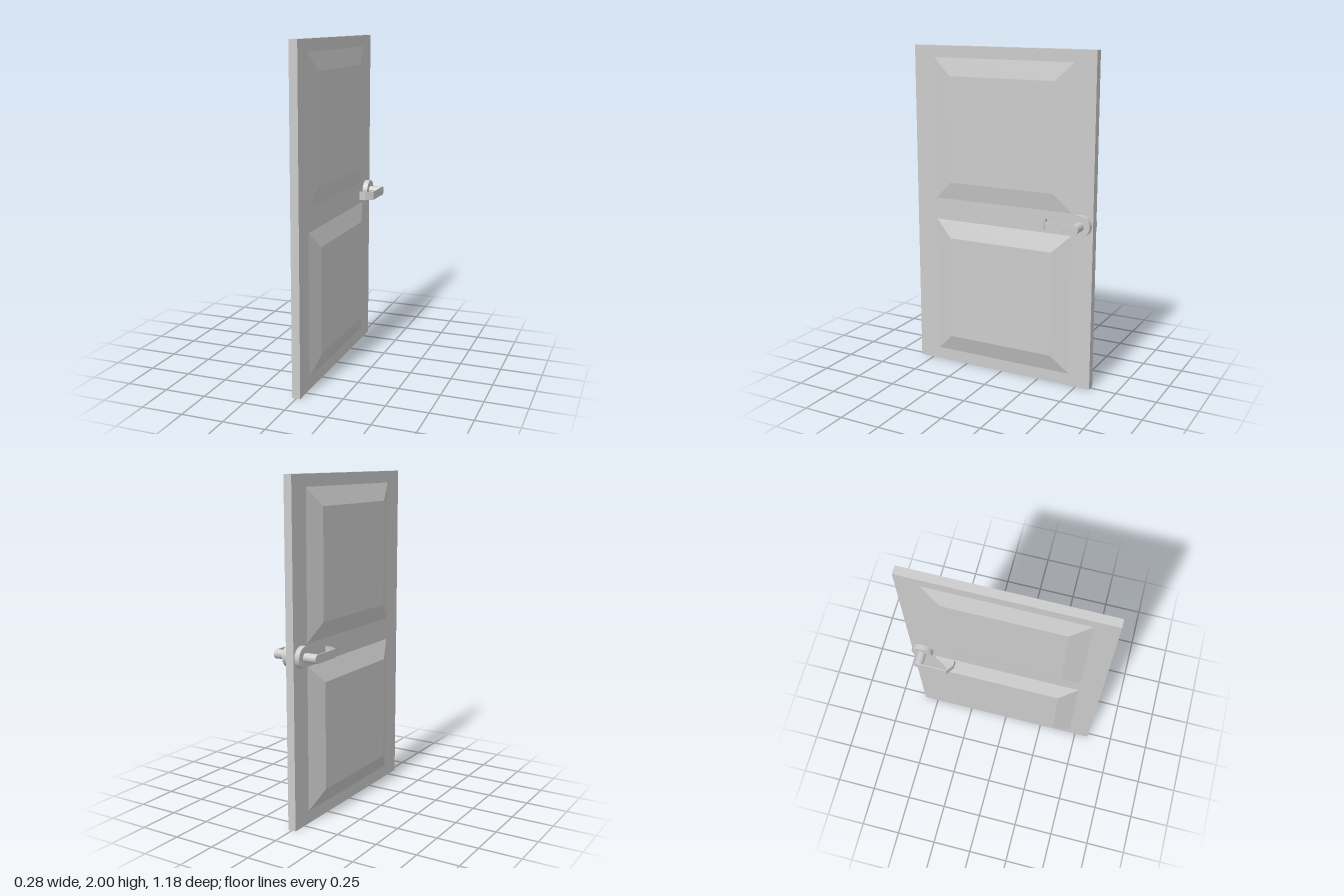
import * as THREE from 'three';

const material = new THREE.MeshStandardMaterial({ color: 0xcccccc });
const HALF = 0.025; // half thickness of the door slab

function add(parent, name, geometry) {
  const mesh = new THREE.Mesh(geometry, material);
  mesh.name = name;
  parent.add(mesh);
  return mesh;
}

// Raised panel: a box whose outer face is drawn in to leave bevelled edges
function panelGeometry(side, reach, yBottom, yTop) {
  const depth = reach - HALF;
  const height = yTop - yBottom;
  const g = new THREE.BoxGeometry(depth, height, 0.91);
  const p = g.attributes.position;
  for (let i = 0; i < p.count; i++) {
    if (p.getX(i) * side > 0) {
      p.setY(i, Math.sign(p.getY(i)) * (height / 2 - 0.107));
      p.setZ(i, Math.sign(p.getZ(i)) * 0.342);
    }
  }
  g.translate(side * (HALF + depth / 2), (yBottom + yTop) / 2, 0);
  g.computeVertexNormals();
  return g;
}

// Thin bent strip, drawn in plan (x, z) and extruded downwards
function leverGeometry(side, height) {
  const plan = [
    [0.139, -0.517], [0.139, -0.34], [0.092, -0.308], [0.056, -0.308],
    [0.056, -0.314], [0.09, -0.314], [0.133, -0.343], [0.133, -0.517],
  ].map(([x, z]) => new THREE.Vector2(side * x, z));
  const g = new THREE.ExtrudeGeometry(new THREE.Shape(plan), { depth: height, bevelEnabled: false });
  g.rotateX(Math.PI / 2);
  g.translate(0, height / 2, 0);
  return g;
}

// Cylinder lying along x, from the door core out to the given reach
function rodGeometry(side, radius, reach) {
  const g = new THREE.CylinderGeometry(radius, radius, reach, 32);
  g.rotateZ(Math.PI / 2);
  g.translate(side * reach / 2, 0, -0.518);
  return g;
}

export function createModel() {
  const door = new THREE.Group();
  door.name = 'door';

  add(door, 'slab', new THREE.BoxGeometry(HALF * 2, 2, 1.18)).position.y = 1;

  for (const side of [1, -1]) {
    const label = side > 0 ? 'left' : 'right';

    // Panels stand out a little further on the right face
    add(door, label + 'UpperPanel', panelGeometry(side, side > 0 ? 0.043 : 0.062, 1.07, 1.93));
    add(door, label + 'LowerPanel', panelGeometry(side, side > 0 ? 0.057 : 0.072, 0.075, 0.935));

    // Handle: round rose, spindle and bent lever
    const handle = new THREE.Group();
    handle.name = label + 'Handle';
    handle.position.y = 1.005;
    add(handle, 'rose', rodGeometry(side, 0.064, 0.057));
    add(handle, 'spindle', rodGeometry(side, 0.027, 0.14));
    add(handle, 'lever', leverGeometry(side, 0.052));
    door.add(handle);
  }
  return door;
}
